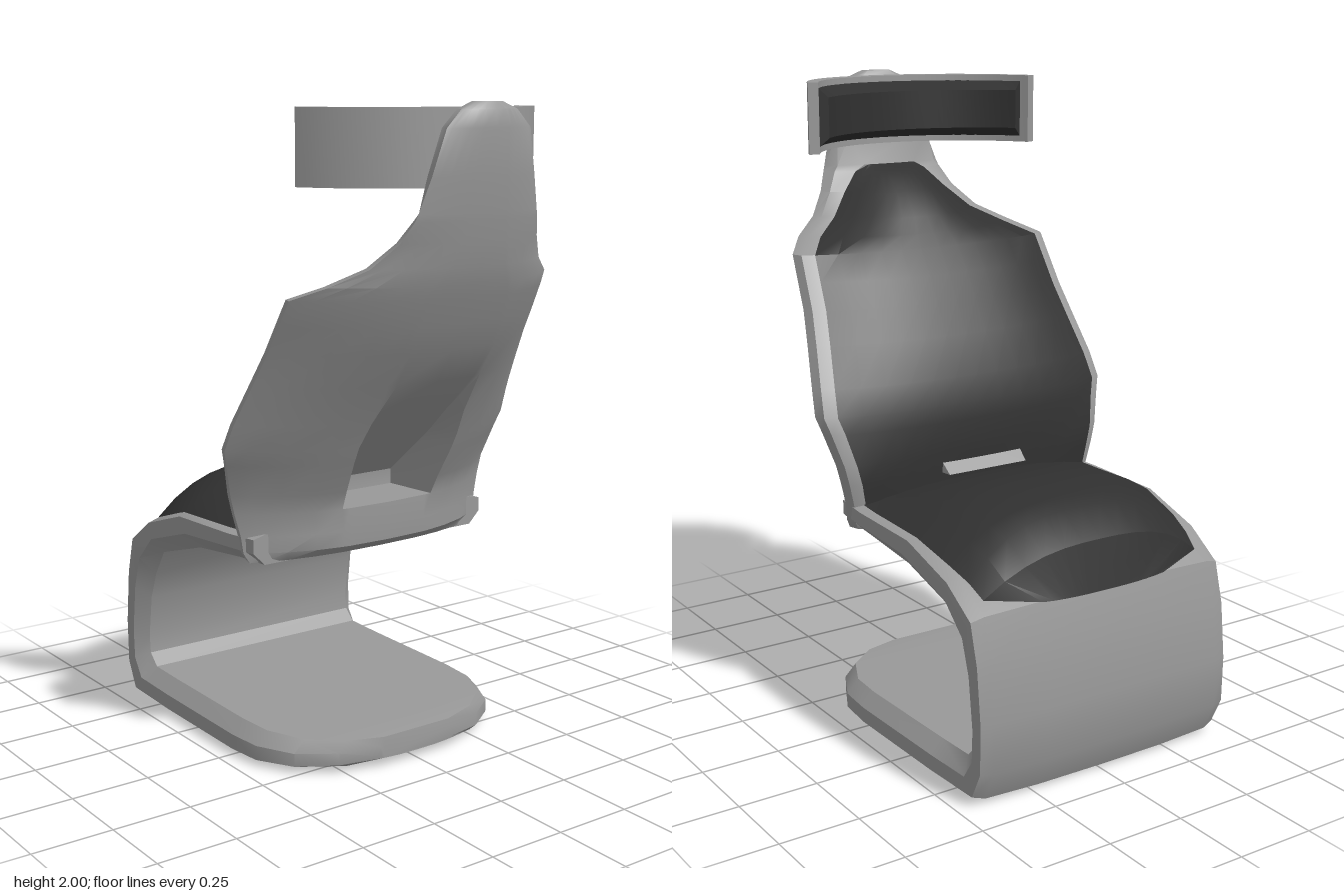
import * as THREE from 'three';
import { toCreasedNormals } from 'three/addons/utils/BufferGeometryUtils.js';

const lerp = THREE.MathUtils.lerp;

// Skin a list of cross-sections (arrays of [x, y, z]); optional closed rings and end caps
function loft(rows, { closed = false, caps = false, crease = 0.6 } = {}) {
  const pos = [];
  const tri = (a, b, c) => {
    const [p, q, r] = [a, b, c].map((v) => new THREE.Vector3(...v));
    if (q.sub(p).cross(r.sub(p)).length() > 1e-8) pos.push(...a, ...b, ...c);
  };
  const n = rows[0].length;
  for (let i = 0; i < rows.length - 1; i++) {
    for (let j = 0; j < (closed ? n : n - 1); j++) {
      const k = (j + 1) % n;
      tri(rows[i][j], rows[i][k], rows[i + 1][k]);
      tri(rows[i][j], rows[i + 1][k], rows[i + 1][j]);
    }
  }
  if (caps) {
    const first = rows[0], last = rows[rows.length - 1];
    for (let j = 1; j < n - 1; j++) {
      tri(first[0], first[j + 1], first[j]);
      tri(last[0], last[j], last[j + 1]);
    }
  }
  const geo = new THREE.BufferGeometry();
  geo.setAttribute('position', new THREE.Float32BufferAttribute(pos, 3));
  return toCreasedNormals(geo, crease);
}

// Evenly spaced values from -1 to 1
const span = (n) => Array.from({ length: n + 1 }, (_, i) => (2 * i) / n - 1);

// Backrest stations: height, half width, rim z, back centre z, cushion centre z, cushion inset
const BACK = [
  [0.64, 0.435, 0.04, 0.16, 0.0, 0.04],
  [0.67, 0.45, 0.03, 0.205, 0.0, 0.04],
  [0.72, 0.455, 0.025, 0.21, 0.0, 0.04],
  [0.79, 0.473, 0.02, 0.21, 0.0, 0.045],
  [0.85, 0.488, 0.022, 0.24, 0.0, 0.045],
  [0.95, 0.517, 0.05, 0.295, 0.0, 0.05],
  [1.0, 0.533, 0.065, 0.32, 0.01, 0.05],
  [1.08, 0.523, 0.1, 0.365, 0.03, 0.05],
  [1.2, 0.5, 0.165, 0.44, 0.09, 0.05],
  [1.3, 0.482, 0.22, 0.505, 0.145, 0.05],
  [1.38, 0.475, 0.265, 0.55, 0.19, 0.05],
  [1.46, 0.468, 0.31, 0.585, 0.245, 0.05],
  [1.5, 0.4, 0.4, 0.603, 0.28, 0.05],
  [1.55, 0.31, 0.47, 0.62, 0.32, 0.05],
  [1.62, 0.25, 0.525, 0.638, 0.39, 0.06],
  [1.68, 0.222, 0.555, 0.65, 0.49, 0.09],
  [1.7, 0.215, 0.56, 0.654, 0.55, 0.12],
  [1.8, 0.185, 0.58, 0.668, 0.58, 0.05],
  [1.93, 0.15, 0.6, 0.68, 0.6, 0.04],
  [1.98, 0.1, 0.607, 0.675, 0.607, 0.03],
  [2.0, 0.05, 0.62, 0.66, 0.62, 0.01],
];

// One ring of the back shell, with the tapered recess pushed in where wanted
function shellRing([y, w, ze, zb, , inset], recessed) {
  const outer = Math.min(lerp(0.22, 0.17, THREE.MathUtils.clamp((y - 0.79) / 0.32, 0, 1)), 0.36 * w);
  const inner = outer * 0.85;
  const edge = ze + Math.min(0.05, (zb - ze) * 0.6);
  const floor = lerp(-0.035, 0.44, (y - 0.79) / 0.41);
  const surf = (x) => zb - (zb - edge) * Math.pow(x / w, 2.6);
  const half = [0, inner, outer, lerp(outer, w, 0.3), lerp(outer, w, 0.6), lerp(outer, w, 0.85), w]
    .map((x, i) => [x, y, recessed && i < 2 ? Math.min(floor, surf(x)) : surf(x)]);
  half.push([w - inset * 0.25, y, lerp(edge, ze, 0.7)], [w - inset, y, ze]);
  const mirrored = half.slice(1).reverse().map(([x, a, z]) => [-x, a, z]);
  return [...mirrored, ...half];
}

function backShell() {
  const rows = [];
  for (const s of BACK) {
    if (s[0] === 0.79) rows.push(shellRing(s, false));
    rows.push(shellRing(s, s[0] >= 0.79 && s[0] < 1.2));
  }
  return loft(rows, { closed: true, caps: true });
}

function backCushion() {
  const rows = BACK.filter((s) => s[0] > 0.7 && s[0] < 1.75).map(([y, w, ze, , zf, inset]) =>
    span(12).reverse().map((u) => {
      const rim = ze - 0.004;
      return [u * (w - inset), y, lerp(rim, Math.min(zf, rim), 1 - Math.pow(Math.abs(u), 2.5))];
    }));
  return loft(rows);
}

// Cantilever ribbon stations: outer z, y; inner z, y; half width
const RIBBON = [
  [0.12, 0.735, 0.12, 0.636, 0.44],
  [0.0, 0.73, 0.0, 0.635, 0.452],
  [-0.3, 0.725, -0.23, 0.612, 0.455],
  [-0.5, 0.66, -0.47, 0.54, 0.452],
  [-0.63, 0.58, -0.53, 0.45, 0.45],
  [-0.662, 0.45, -0.565, 0.36, 0.45],
  [-0.68, 0.27, -0.585, 0.22, 0.45],
  [-0.677, 0.11, -0.58, 0.16, 0.45],
  [-0.635, 0.015, -0.54, 0.122, 0.45],
  [-0.4, 0.006, -0.4, 0.118, 0.45],
  [0.0, 0.003, 0.0, 0.112, 0.45],
  [0.12, 0.006, 0.12, 0.11, 0.44],
  [0.24, 0.012, 0.24, 0.106, 0.38],
  [0.32, 0.018, 0.32, 0.104, 0.27],
  [0.36, 0.03, 0.355, 0.1, 0.14],
];

function ribbon() {
  const rows = RIBBON.map(([oz, oy, iz, iy, w]) => {
    const at = (x, t) => [x, lerp(oy, iy, t), lerp(oz, iz, t)];
    const b = Math.min(0.04, w * 0.1);
    return [
      at(-w + b, 0.06), at(-w / 2, 0.01), at(0, 0), at(w / 2, 0.01), at(w - b, 0.06),
      at(w, 0.16), at(w, 0.6), at(w - b, 1), at(-w + b, 1), at(-w, 0.6), at(-w, 0.16),
    ];
  });
  return loft(rows, { closed: true, caps: true });
}

// Seat cushion stations: edge z, edge y, half width, centre z, centre y
const SEAT = [
  [0.03, 0.725, 0.42, 0.03, 0.755],
  [-0.05, 0.722, 0.425, -0.05, 0.785],
  [-0.3, 0.715, 0.43, -0.3, 0.82],
  [-0.45, 0.672, 0.415, -0.45, 0.805],
  [-0.53, 0.64, 0.4, -0.52, 0.79],
  [-0.585, 0.603, 0.388, -0.615, 0.72],
  [-0.64, 0.58, 0.22, -0.65, 0.575],
];

function seatCushion() {
  return loft(SEAT.map(([ze, ye, w, zc, yc]) => span(12).map((u) => {
    const k = 1 - Math.pow(Math.abs(u), 2.8);
    return [u * w, lerp(ye, yc, k), lerp(ze, zc, k)];
  })));
}

// Wraparound headrest: arc about a vertical axis at z = 0.16
const polar = (r, a, y) => [r * Math.sin(a), y, 0.16 + r * Math.cos(a)];

function headrestShell() {
  return loft(span(28).map((t) => {
    const a = t * 1.2, inner = lerp(0.392, 0.418, t * t);
    return [polar(0.45, a, 1.985), polar(0.45, a, 1.768), polar(inner, a, 1.768), polar(inner, a, 1.985)];
  }), { closed: true, caps: true });
}

function headrestPad() {
  return loft(span(24).map((t) => {
    const a = t * 1.13, rim = lerp(0.396, 0.418, t * t), face = lerp(0.32, 0.385, t * t);
    return [polar(rim, a, 1.785), polar(face, a, 1.815), polar(face, a, 1.938), polar(rim, a, 1.968)];
  }), { closed: true, caps: true });
}

export function createModel() {
  const shell = new THREE.MeshStandardMaterial({ color: 0x999999, side: THREE.DoubleSide });
  shell.name = 'grey shell';
  const fabric = new THREE.MeshStandardMaterial({ color: 0x303030, side: THREE.DoubleSide });
  fabric.name = 'dark upholstery';

  const chair = new THREE.Group();
  chair.name = 'chair';
  const add = (name, geo, mat) => {
    const mesh = new THREE.Mesh(geo, mat);
    mesh.name = name;
    chair.add(mesh);
  };
  add('cantileverBase', ribbon(), shell);
  add('backrestShell', backShell(), shell);
  add('backrestCushion', backCushion(), fabric);
  add('seatCushion', seatCushion(), fabric);
  add('headrestShell', headrestShell(), shell);
  add('headrestPad', headrestPad(), fabric);
  return chair;
}
